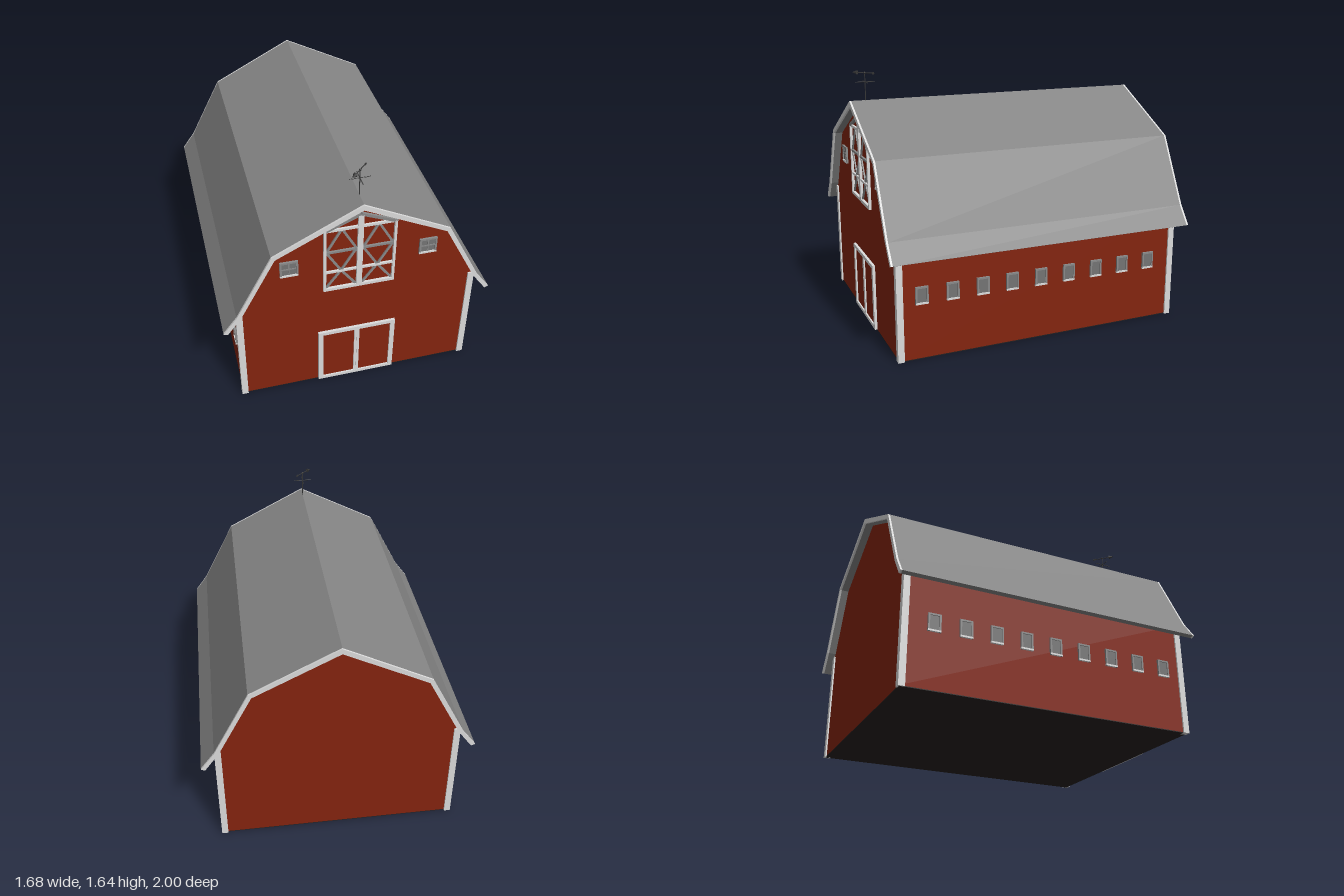
import * as THREE from 'three';

const paint = (name, color) => {
  const m = new THREE.MeshStandardMaterial({ color });
  m.name = name;
  return m;
};

export function createModel() {
  const red = paint('barn red', 0x84240f);
  const white = paint('trim white', 0xdcdcdc);
  const roofGrey = paint('roof grey', 0x868686);
  const frameGrey = paint('frame grey', 0x8a8a8a);
  const glass = paint('glass grey', 0x747474);
  const iron = paint('dark iron', 0x3a3a3a);
  const floorDark = paint('floor dark', 0x262120);

  const barn = new THREE.Group();
  barn.name = 'barn';

  const group = (name, parent = barn) => {
    const g = new THREE.Group();
    g.name = name;
    parent.add(g);
    return g;
  };
  const add = (name, geo, mat, parent = barn) => {
    const m = new THREE.Mesh(geo, mat);
    m.name = name;
    parent.add(m);
    return m;
  };
  const box = (name, mat, parent, w, h, d, x, y, z) => {
    const m = add(name, new THREE.BoxGeometry(w, h, d), mat, parent);
    m.position.set(x, y, z);
    return m;
  };
  // Flat bar between two points on a wall facing +z
  const bar = (name, mat, parent, [x1, y1], [x2, y2], width, depth, z) => {
    const len = Math.hypot(x2 - x1, y2 - y1);
    const m = box(name, mat, parent, len, width, depth, (x1 + x2) / 2, (y1 + y2) / 2, z);
    m.rotation.z = Math.atan2(y2 - y1, x2 - x1);
    return m;
  };
  // Extrude a closed outline along z, from z0 to z1
  const prism = (points, z0, z1) => {
    const shape = new THREE.Shape(points.map(([x, y]) => new THREE.Vector2(x, y)));
    const g = new THREE.ExtrudeGeometry(shape, { depth: z1 - z0, bevelEnabled: false });
    return g.translate(0, 0, z0);
  };
  // Complete a right half, listed from ridge to eave, with its mirror image
  const mirrored = (half) => [
    ...half.slice(1).reverse().map(([x, y]) => [-x, y]),
    ...half,
  ];

  // Walls with gambrel gables
  const wallHalf = [[0, 1.43], [0.518, 1.168], [0.722, 0.775], [0.745, 0.74], [0.745, 0.005]];
  add('walls', prism(mirrored(wallHalf), -0.94, 0.94), red);
  box('floor', floorDark, barn, 1.49, 0.005, 1.88, 0, 0.0025, 0);

  // Roof shell with a flared eave, and white bargeboards at both ends
  const outer = mirrored([[0, 1.455], [0.535, 1.18], [0.755, 0.755], [0.84, 0.64]]);
  const inner = mirrored([[0, 1.42], [0.515, 1.16], [0.725, 0.755], [0.815, 0.63]]);
  const roofOutline = [...outer, ...inner.reverse()];
  add('roof', prism(roofOutline, -0.988, 0.988), roofGrey);
  add('frontBargeboard', prism(roofOutline, 0.988, 1), white);
  add('backBargeboard', prism(roofOutline, -1, -0.988), white);

  // Corner posts
  for (const x of [-1, 1]) for (const z of [-1, 1])
    box('cornerPost', white, barn, 0.04, 0.73, 0.04, x * 0.735, 0.365, z * 0.93);

  // Double barn door
  const door = group('doubleDoor');
  box('doorPanel', red, door, 0.48, 0.42, 0.008, 0, 0.22, 0.943);
  box('doorHeader', white, door, 0.5, 0.024, 0.02, 0, 0.428, 0.947);
  box('doorSill', white, door, 0.5, 0.022, 0.02, 0, 0.016, 0.947);
  for (const s of [-1, 1]) {
    box('doorJamb', white, door, 0.03, 0.435, 0.02, s * 0.235, 0.2225, 0.947);
    box('doorMeetingStile', white, door, 0.016, 0.42, 0.018, s * 0.0085, 0.22, 0.947);
  }

  // Hayloft door with cross bracing
  const loft = group('loftDoor');
  box('loftSill', white, loft, 0.44, 0.02, 0.02, 0, 0.81, 0.947);
  box('loftCentrePost', white, loft, 0.034, 0.54, 0.02, 0, 1.08, 0.947);
  box('loftTopRail', white, loft, 0.42, 0.016, 0.014, 0, 1.265, 0.946);
  box('loftLowerRail', white, loft, 0.42, 0.014, 0.014, 0, 0.945, 0.946);
  box('loftMiddleRail', frameGrey, loft, 0.42, 0.014, 0.014, 0, 1.1, 0.946);
  for (const s of [-1, 1]) {
    box('loftJamb', white, loft, 0.016, 0.47, 0.02, s * 0.212, 1.035, 0.947);
    bar('loftGableRail', frameGrey, loft, [s * 0.22, 1.263], [0, 1.358], 0.018, 0.02, 0.947);
    const mid = [s * 0.111, 0.945];
    const top = [s * 0.111, 1.265];
    for (const x of [0.02, 0.203]) {
      bar('loftBrace', frameGrey, loft, [s * x, 0.818], mid, 0.014, 0.01, 0.944);
      bar('loftBrace', frameGrey, loft, mid, [s * x, 1.1], 0.014, 0.01, 0.944);
      bar('loftBrace', frameGrey, loft, [s * x, 1.1], top, 0.014, 0.01, 0.944);
    }
  }

  // Framed window facing +z, centred on its group
  const makeWindow = (name, w, h, t, crossed) => {
    const g = group(name);
    box('windowGlass', glass, g, w - t, h - t, 0.008, 0, 0, 0.002);
    for (const s of [-1, 1])
      box('windowSideFrame', frameGrey, g, t, h, 0.016, s * (w - t) / 2, 0, 0.004);
    box('windowTopFrame', frameGrey, g, w, t, 0.016, 0, (h - t) / 2, 0.004);
    box('windowSill', white, g, w, t, 0.018, 0, -(h - t) / 2, 0.004);
    if (crossed) {
      box('windowMullion', frameGrey, g, 0.008, h - t, 0.012, 0, 0, 0.003);
      box('windowCrossbar', frameGrey, g, w - t, 0.008, 0.012, 0, 0, 0.003);
    }
    return g;
  };
  for (const s of [-1, 1]) {
    makeWindow('gableWindow', 0.11, 0.112, 0.012, true).position.set(s * 0.425, 1.026, 0.941);
    for (let i = 0; i < 9; i++) {
      const w = makeWindow('sideWindow', 0.08, 0.11, 0.011, false);
      w.position.set(s * 0.746, 0.405, 0.795 - i * 0.1938);
      w.rotation.y = s * Math.PI / 2;
    }
  }

  // Weather vane on the ridge
  const vane = group('weatherVane');
  vane.position.set(0, 1.44, 0.895);
  const rod = (name, r, len, y, parent) => {
    const m = add(name, new THREE.CylinderGeometry(r, r, len, 8), iron, parent);
    m.position.y = y;
    return m;
  };
  rod('vanePole', 0.003, 0.19, 0.095, vane);
  rod('vaneCrossX', 0.0025, 0.125, 0.13, vane).rotation.z = Math.PI / 2;
  rod('vaneCrossZ', 0.0025, 0.125, 0.13, vane).rotation.x = Math.PI / 2;
  const ball = add('vaneBall', new THREE.SphereGeometry(0.007, 10, 8), iron, vane);
  ball.position.y = 0.186;
  const arrow = group('vaneArrow', vane);
  arrow.position.y = 0.186;
  arrow.rotation.y = Math.PI / 4;
  rod('arrowShaft', 0.003, 0.14, 0, arrow).rotation.z = Math.PI / 2;
  const head = add('arrowHead', new THREE.ConeGeometry(0.014, 0.035, 8), iron, arrow);
  head.position.x = -0.072;
  head.rotation.z = Math.PI / 2;
  box('arrowTail', iron, arrow, 0.014, 0.014, 0.004, 0.06, 0, 0);

  return barn;
}
